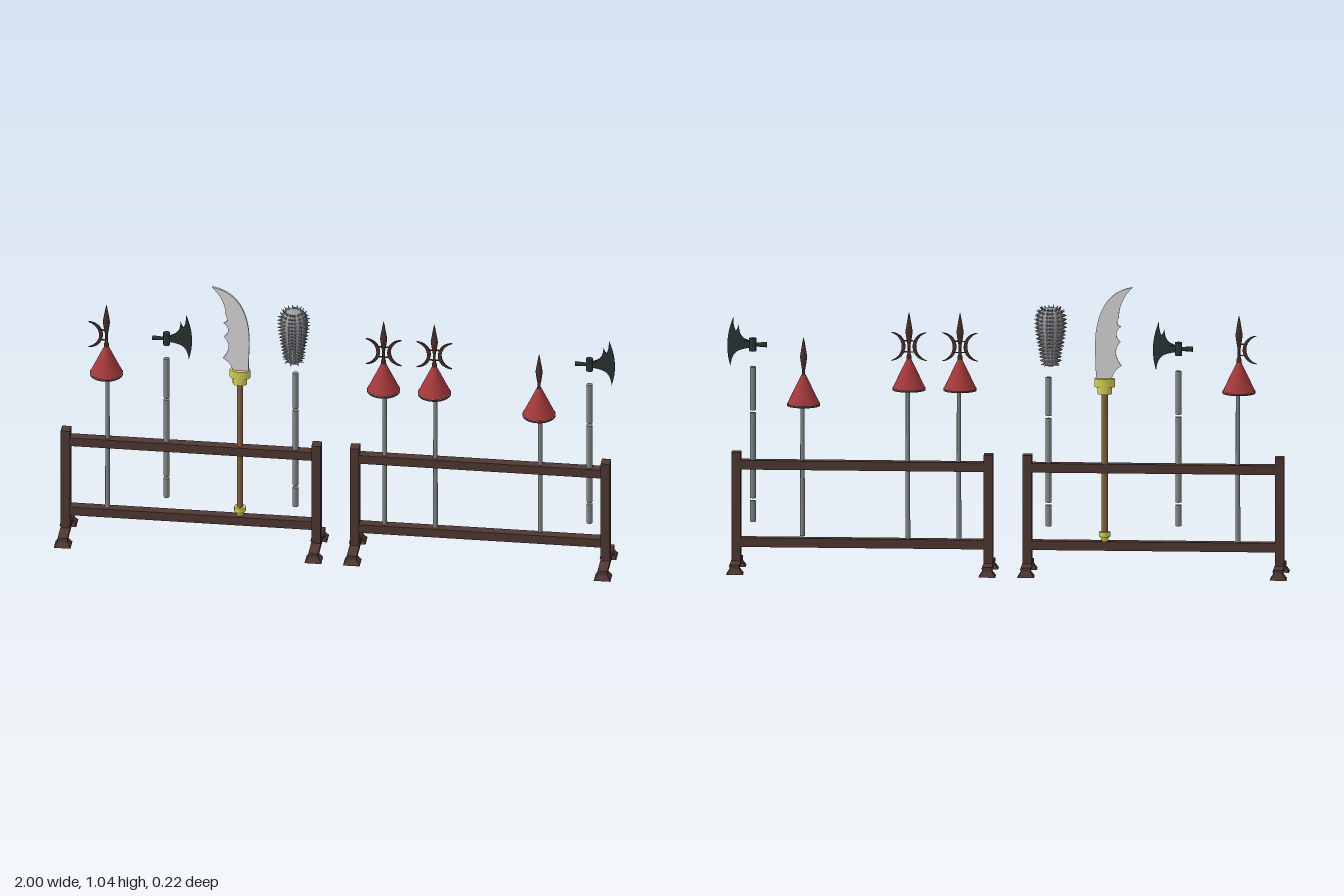
import * as THREE from 'three';

const mat = (name, color, extra = {}) => Object.assign(new THREE.MeshStandardMaterial({ color, ...extra }), { name });

export function createModel() {
  const M = {
    wood: mat('dark wood', 0x503833),
    iron: mat('dark iron', 0x2c3535),
    grey: mat('grey steel', 0x848888),
    mace: mat('mace steel', 0x9b9c9e),
    red: mat('red tassel', 0xa5393b, { side: THREE.DoubleSide }),
    bronze: mat('dark bronze', 0x4a302b, { side: THREE.DoubleSide }),
    blade: mat('bright blade', 0xdedede),
    gold: mat('gold', 0xd8d558),
    haft: mat('brown haft', 0x886440),
    stud: mat('blue stud', 0x5555a8),
  };
  const root = new THREE.Group();

  const group = (name, x = 0, y = 0, z = 0, parent = root) => {
    const g = new THREE.Group();
    g.name = name;
    g.position.set(x, y, z);
    parent.add(g);
    return g;
  };
  const add = (parent, name, geo, m, x = 0, y = 0, z = 0) => {
    const mesh = new THREE.Mesh(geo, m);
    mesh.name = name;
    mesh.position.set(x, y, z);
    parent.add(mesh);
    return mesh;
  };
  const box = (p, name, m, w, h, d, x, y, z) => add(p, name, new THREE.BoxGeometry(w, h, d), m, x, y, z);
  // Upright rod between two heights
  const rod = (p, name, m, r, y0, y1, r1 = r, seg = 12, open = false) =>
    add(p, name, new THREE.CylinderGeometry(r1, r, y1 - y0, seg, 1, open), m, 0, (y0 + y1) / 2, 0);
  // Flat plate cut from an outline, centred on z = 0
  const plate = (p, name, m, shape, depth) => {
    const geo = new THREE.ExtrudeGeometry(shape, { depth, bevelEnabled: false, curveSegments: 16 });
    geo.translate(0, 0, -depth / 2);
    return add(p, name, geo, m);
  };

  // Racks: posts, rails, cross bars and flared feet
  const footGeo = new THREE.CylinderGeometry(0.5, 0.92, 1, 4, 1).toNonIndexed();
  footGeo.rotateY(Math.PI / 4);
  footGeo.scale(0.046, 0.021, 0.043);
  footGeo.computeVertexNormals();
  for (const cx of [-0.521, 0.517]) {
    const rack = group('rack', cx);
    for (const s of [-1, 1]) {
      const x = s * 0.45;
      box(rack, 'post', M.wood, 0.033, 0.407, 0.041, x, 0.2235, 0.002);
      box(rack, 'crossBar', M.wood, 0.035, 0.015, 0.204, x, 0.028, 0);
      for (const z of [-0.082, 0.082]) add(rack, 'foot', footGeo, M.wood, x, 0.0105, z);
    }
    for (const y of [0.102, 0.382]) box(rack, 'rail', M.wood, 0.87, 0.033, 0.035, 0, y, 0);
  }

  // Spears; heights are measured from the rim of the red tassel
  const headPts = [[0, 0.06], [0.009, 0.065], [0.009, 0.115], [0.005, 0.128], [0.005, 0.155], [0.008, 0.17],
    [0.013, 0.205], [0.008, 0.235], [0.004, 0.258], [0, 0.277]].map(p => new THREE.Vector2(...p));
  const crescent = new THREE.Shape();
  const horn = 0.051;
  crescent.moveTo(0, -horn);
  crescent.absarc(0, 0, horn, -Math.PI / 2, Math.PI / 2, false);
  crescent.bezierCurveTo(0.051, 0.034, 0.051, -0.034, 0, -horn);

  const spear = (x, rim, foot, headDrop, sides) => {
    const g = group('spear', x, rim);
    rod(g, 'shaft', M.grey, 0.0085, foot - rim, 0.09, 0.0075).position.x = 0.004;
    rod(g, 'tassel', M.red, 0.058, 0.002, 0.106, 0.008, 24, true);
    rod(g, 'tasselRim', M.bronze, 0.059, -0.006, 0.002, 0.059, 24, true);
    add(g, 'spearHead', new THREE.LatheGeometry(headPts, 8), M.bronze, 0, -headDrop, 0);
    for (const s of sides) {
      const side = group('crescentBlade', s * 0.064, 0.151, 0, g);
      if (s > 0) side.rotation.y = Math.PI;
      plate(side, 'crescent', M.bronze, crescent, 0.008);
      for (const y of [-0.02, 0.02]) box(side, 'strut', M.bronze, 0.024, 0.004, 0.004, 0.052, y, 0);
    }
  };
  spear(-0.826, 0.663, 0.115, 0, [-1]);
  spear(0.169, 0.663, 0.115, 0, [-1, 1]);
  spear(0.351, 0.663, 0.115, 0, [-1, 1]);
  spear(0.727, 0.602, 0.125, 0.034, []);

  // Hafts made of three lengths with narrow gaps between them
  const jointedShaft = (g, bottom, low, high, top) => {
    const gap = 0.0045;
    rod(g, 'shaftSection', M.grey, 0.0105, bottom, low - gap);
    rod(g, 'shaftSection', M.grey, 0.0105, low + gap, high - gap);
    rod(g, 'shaftSection', M.grey, 0.0105, high + gap, top);
  };

  // Axes: slim crescent blade with a back spur
  const axeShape = new THREE.Shape();
  axeShape.moveTo(0.008, 0.012);
  axeShape.lineTo(0.03, 0.022);
  axeShape.quadraticCurveTo(0.05, 0.035, 0.05, 0.072);
  axeShape.quadraticCurveTo(0.056, 0.05, 0.062, 0.05);
  axeShape.quadraticCurveTo(0.07, 0.07, 0.07, 0.098);
  axeShape.quadraticCurveTo(0.106, 0.01, 0.08, -0.078);
  axeShape.quadraticCurveTo(0.076, -0.04, 0.058, -0.026);
  axeShape.quadraticCurveTo(0.04, -0.014, 0.008, -0.012);
  for (const x of [-0.61, 0.908]) {
    const axe = group('axe', x);
    jointedShaft(axe, 0.175, 0.256, 0.574, 0.735);
    const head = group('axeHead', 0, 0.815, 0, axe);
    rod(head, 'socket', M.iron, 0.013, -0.024, 0.024, 0.013, 8);
    plate(head, 'axeBlade', M.iron, axeShape, 0.005);
    box(head, 'neck', M.iron, 0.026, 0.02, 0.01, 0.018, 0.002, 0);
    const poll = add(head, 'poll', new THREE.CylinderGeometry(0.01, 0.007, 0.04, 8), M.iron, -0.031, 0, 0);
    poll.rotation.z = Math.PI / 2;
    poll.scale.z = 0.6;
  }

  // Curved sword on a long haft
  const sword = group('longSword', -0.347, 0, -0.003);
  rod(sword, 'haft', M.haft, 0.0115, 0.13, 0.66);
  rod(sword, 'pommel', M.gold, 0.011, 0.118, 0.135, 0.016);
  rod(sword, 'pommelRing', M.gold, 0.021, 0.135, 0.152);
  rod(sword, 'collar', M.gold, 0.026, 0.65, 0.68, 0.026, 20).scale.z = 0.75;
  rod(sword, 'guard', M.gold, 0.037, 0.676, 0.706, 0.037, 20).scale.z = 0.6;
  const b = new THREE.Shape();
  b.moveTo(-0.024, 0.7);
  b.lineTo(0.032, 0.7);
  b.bezierCurveTo(0.03, 0.76, 0.038, 0.8, 0.032, 0.87);
  b.bezierCurveTo(0.022, 0.96, -0.02, 1.025, -0.1, 1.036);
  b.quadraticCurveTo(-0.052, 0.99, -0.05, 0.925);
  // Scalloped back edge
  for (const [cx, cy, px, py] of [[-0.036, 0.9, -0.058, 0.894], [-0.026, 0.868, -0.056, 0.838], [-0.022, 0.8, -0.06, 0.752]])
    b.quadraticCurveTo(cx, cy, px, py);
  b.quadraticCurveTo(-0.03, 0.735, -0.024, 0.7);
  plate(sword, 'blade', M.blade, b, 0.009).position.z = 0.003;

  // Spiked mace: spikes in upright columns, with three columns of blue studs between them
  const mace = group('mace', -0.147);
  jointedShaft(mace, 0.17, 0.251, 0.564, 0.708);
  const head = group('maceHead', -0.007, 0, 0, mace);
  const profile = new THREE.CatmullRomCurve3([[0, 0.748], [0.02, 0.752], [0.03, 0.8], [0.041, 0.86], [0.046, 0.905],
    [0.041, 0.938], [0.026, 0.955], [0, 0.96]].map(p => new THREE.Vector3(...p, 0)));
  const pts = profile.getSpacedPoints(24).map(p => new THREE.Vector2(Math.max(p.x, 0), p.y));
  add(head, 'maceBody', new THREE.LatheGeometry(pts, 24), M.mace);
  const spikeGeo = new THREE.ConeGeometry(0.0055, 0.018, 5);
  const studGeo = new THREE.OctahedronGeometry(0.0045);
  const up = new THREE.Vector3(0, 1, 0);
  const rows = 17, columns = 14;
  const place = (name, geo, m, u, a, lift) => {
    const p = profile.getPointAt(u), t = profile.getTangentAt(u);
    const dir = new THREE.Vector3(t.y * Math.cos(a), -t.x, t.y * Math.sin(a)).normalize();
    const part = add(head, name, geo, m, p.x * Math.cos(a), p.y, p.x * Math.sin(a));
    part.position.addScaledVector(dir, lift);
    part.quaternion.setFromUnitVectors(up, dir);
  };
  for (let i = 1; i < rows; i++) {
    const u = 0.05 + 0.88 * i / rows;
    const n = profile.getPointAt(u).x < 0.024 ? 7 : columns;
    for (let j = 0; j < n; j++) {
      place('spike', spikeGeo, M.mace, u, j / n * Math.PI * 2, 0.006);
      if (n === columns && i > 5 && [3, 10, 13].includes(j)) place('stud', studGeo, M.stud, u, (j + 0.5) / n * Math.PI * 2, 0.002);
    }
  }
  return root;
}
